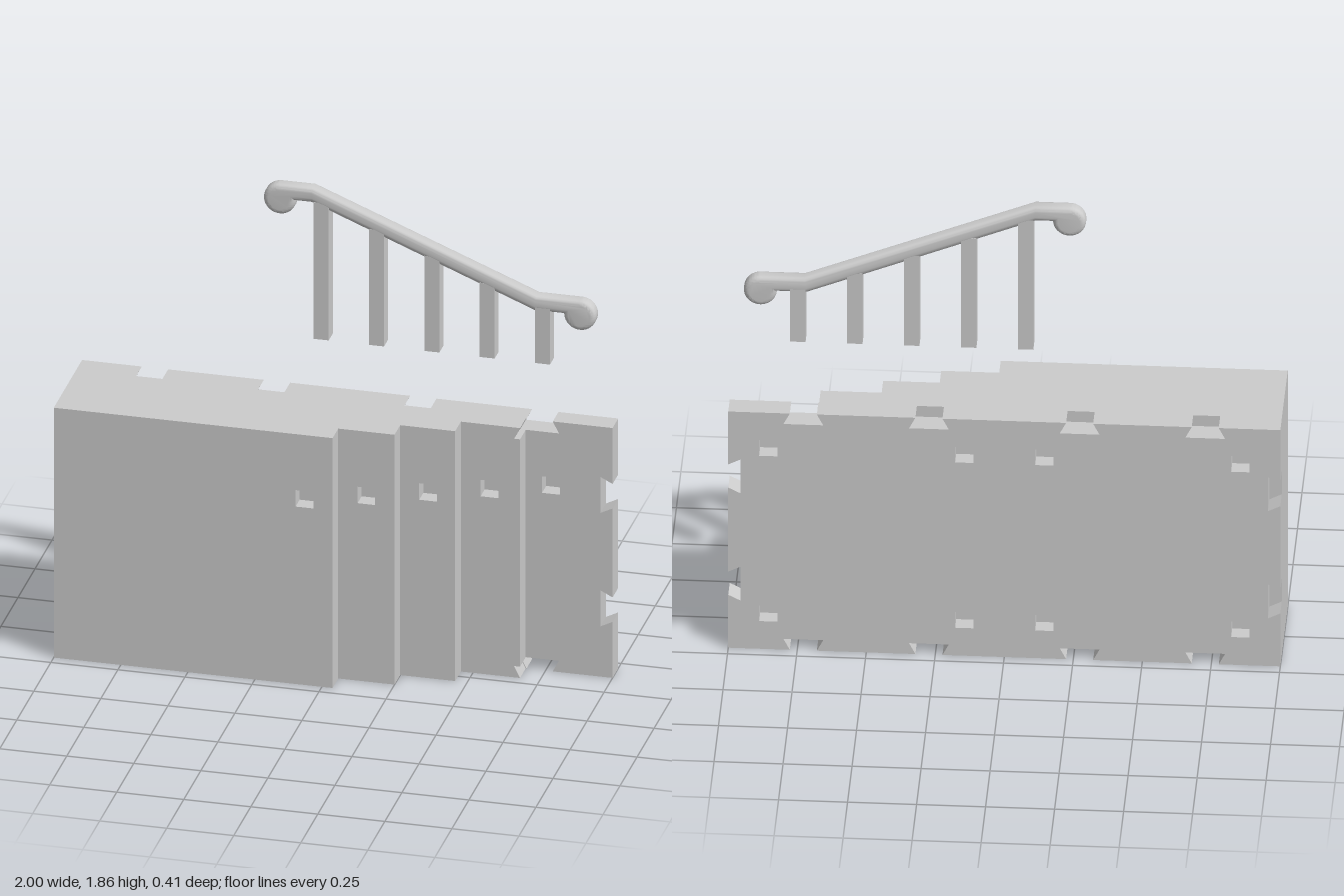
import * as THREE from 'three';
import { toCreasedNormals } from 'three/addons/utils/BufferGeometryUtils.js';

const LAYER = 0.083, BACK = -0.2075, HOLE = 0.066, DEPTH = 0.06;
const material = new THREE.MeshStandardMaterial({ color: 0xcccccc });

function addMesh(parent, name, geometry) {
  const mesh = new THREE.Mesh(geometry, material);
  mesh.name = name;
  parent.add(mesh);
  return mesh;
}

// Flat slab between two depths, with square openings centred on the given points
function slab(parent, name, outline, openings, z0, z1) {
  const shape = new THREE.Shape(outline.map(([x, y]) => new THREE.Vector2(x, y)));
  const h = HOLE / 2;
  for (const [x, y] of openings) {
    shape.holes.push(new THREE.Path([[-h, -h], [-h, h], [h, h], [h, -h]]
      .map(([dx, dy]) => new THREE.Vector2(x + dx, y + dy))));
  }
  const geometry = new THREE.ExtrudeGeometry(shape, { depth: z1 - z0, bevelEnabled: false });
  geometry.translate(0, 0, z0);
  return addMesh(parent, name, geometry);
}

// Plate outline with dovetail notches on all four edges
function plateOutline() {
  const points = [];
  const edge = (centres, length, place) => {
    points.push(place(0, 0));
    for (const c of centres) {
      points.push(place(c - 0.049, 0), place(c - 0.072, 0.045),
        place(c + 0.072, 0.045), place(c + 0.049, 0));
    }
  };
  const long = [0.272, 0.727, 1.273, 1.728], short = [0.273, 0.727];
  edge(long, 2, (t, d) => [-1 + t, d]);
  edge(short, 1, (t, d) => [1 - d, t]);
  edge(long, 2, (t, d) => [1 - t, 1 - d]);
  edge(short, 1, (t, d) => [-1 + d, 1 - t]);
  return points;
}

function buildStairs() {
  const stairs = new THREE.Group();
  stairs.name = 'stairBlock';

  // Base plate: blind sockets at the back and one post socket at the front
  const plate = plateOutline();
  const sockets = [];
  for (const x of [-0.855, -0.145, 0.145, 0.855]) {
    for (const y of [0.15, 0.85]) sockets.push([x, y]);
  }
  const post = [0.77, 0.743], front = BACK + LAYER;
  slab(stairs, 'plateBack', plate, sockets, BACK, front - DEPTH);
  slab(stairs, 'plateCore', plate, [...sockets, post], front - DEPTH, BACK + DEPTH);
  slab(stairs, 'plateFront', plate, [post], BACK + DEPTH, front);

  // Steps, each with a post socket in its tread
  const rightEdges = [0.676, 0.455, 0.25, 0.04];
  const socketX = [0.562, 0.354, 0.145, -0.065];
  rightEdges.forEach((x, i) => {
    const z0 = BACK + LAYER * (i + 1), z1 = z0 + LAYER;
    const outline = i === 0
      // the lowest step is clipped by the dovetails next to it
      ? [[-1, 0], [x, 0], [x - 0.022, 0.045], [x, 0.045],
        [x, 0.955], [x - 0.022, 0.955], [x, 1], [-1, 1]]
      : [[-1, 0], [x, 0], [x, 1], [-1, 1]];
    slab(stairs, `step${i + 1}Base`, outline, [], z0, z1 - DEPTH);
    slab(stairs, `step${i + 1}Tread`, outline, [[socketX[i], 0.743]], z1 - DEPTH, z1);
  });
  return stairs;
}

function buildRailing() {
  const railing = new THREE.Group();
  railing.name = 'railing';
  const z = -0.096, thick = 0.06, round = 0.02;

  // Sloping handrail with a round scroll at each end
  const s = new THREE.Shape();
  s.moveTo(0.89, 1.52);
  s.lineTo(0.73, 1.52);
  s.lineTo(-0.105, 1.855);
  s.lineTo(-0.23, 1.855);
  s.absarc(-0.23, 1.795, 0.06, Math.PI / 2, Math.PI * 2, false);
  s.lineTo(-0.11, 1.795);
  s.lineTo(0.72, 1.46);
  s.lineTo(0.83, 1.46);
  s.absarc(0.89, 1.46, 0.06, Math.PI, Math.PI * 2.5, false);
  const rail = new THREE.ExtrudeGeometry(s, {
    depth: thick - 2 * round, bevelThickness: round, bevelSize: round,
    bevelOffset: -round, bevelSegments: 5, curveSegments: 28,
  });
  rail.translate(0, 0, z - thick / 2 + round);
  addMesh(railing, 'handrail', toCreasedNormals(rail, 0.5));

  // Square posts reaching up into the handrail
  for (let i = 0; i < 5; i++) {
    const x = -0.072 + i * 0.2063, bottom = 1.255;
    const top = Math.max(1.795 - 0.404 * (x + 0.11), 1.46) + 0.022;
    addMesh(railing, `post${i + 1}`, new THREE.BoxGeometry(0.056, top - bottom, 0.059))
      .position.set(x, (top + bottom) / 2, z);
  }
  return railing;
}

export function createModel() {
  const model = new THREE.Group();
  model.name = 'stairsWithRailing';
  model.add(buildStairs(), buildRailing());
  return model;
}
